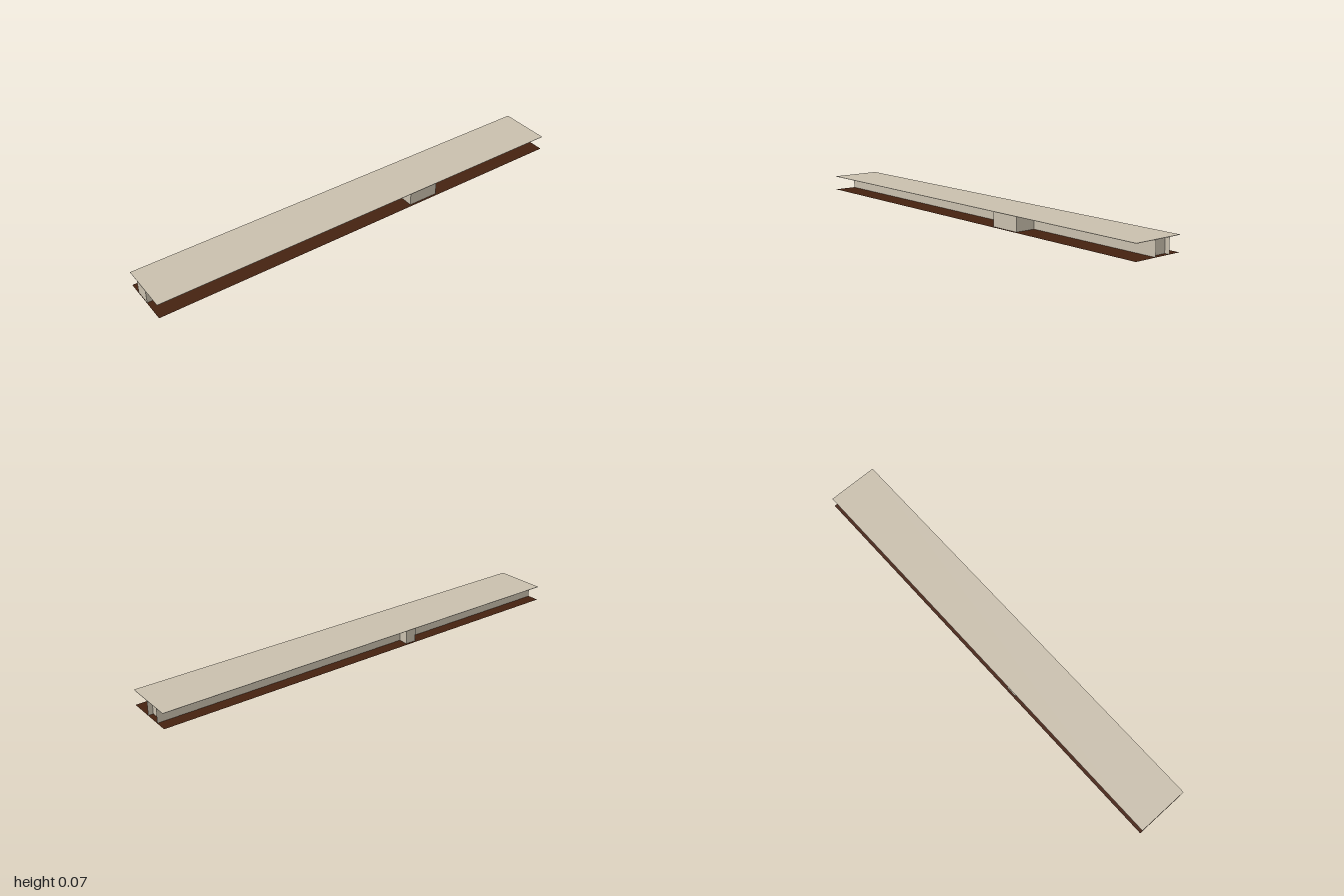
import * as THREE from 'three';
import { mergeGeometries } from 'three/addons/utils/BufferGeometryUtils.js';

const HEIGHT = 0.065, WIDTH = 0.234, LENGTH = 2;

// Upright wall panels following a path of [x, z] points
function wallPanels(points) {
  const panels = [];
  for (let i = 0; i + 1 < points.length; i++) {
    const [x0, z0] = points[i], [x1, z1] = points[i + 1];
    const panel = new THREE.PlaneGeometry(Math.hypot(x1 - x0, z1 - z0), HEIGHT);
    panel.rotateY(Math.atan2(z0 - z1, x1 - x0));
    panel.translate((x0 + x1) / 2, HEIGHT / 2, (z0 + z1) / 2);
    panels.push(panel);
  }
  return mergeGeometries(panels);
}

export function createModel() {
  const plaster = new THREE.MeshStandardMaterial({ color: 0xc8bfad, side: THREE.DoubleSide });
  plaster.name = 'beige plaster';
  const wood = new THREE.MeshStandardMaterial({ color: 0x452210, side: THREE.DoubleSide });
  wood.name = 'dark brown floor';

  const group = new THREE.Group();
  group.name = 'corridor';
  const add = (name, geometry, material) => {
    const mesh = new THREE.Mesh(geometry, material);
    mesh.name = name;
    group.add(mesh);
    return mesh;
  };

  // Floor sheet and thin ceiling slab
  add('floor', new THREE.PlaneGeometry(WIDTH, LENGTH).rotateX(-Math.PI / 2), wood);
  add('ceiling', new THREE.BoxGeometry(WIDTH, 0.0015, LENGTH), plaster).position.y = HEIGHT + 0.00075;

  // Long walls, each stepping out around a side alcove
  const left = 0.012, right = -0.062, outer = 0.107, front = 0.998, back = -0.999;
  add('leftWall', wallPanels([
    [left, front], [left, -0.22], [outer, -0.22], [outer, -0.362], [left, -0.362], [left, back],
  ]), plaster);
  add('rightWall', wallPanels([
    [right, back], [right, 0.18], [-outer, 0.18], [-outer, 0.23], [right, 0.23], [right, front],
  ]), plaster);

  // End walls; the back one is slightly recessed
  add('frontWall', wallPanels([[right, front], [left, front]]), plaster);
  add('backWall', wallPanels([[left, -0.978], [right, -0.978]]), plaster);
  return group;
}
